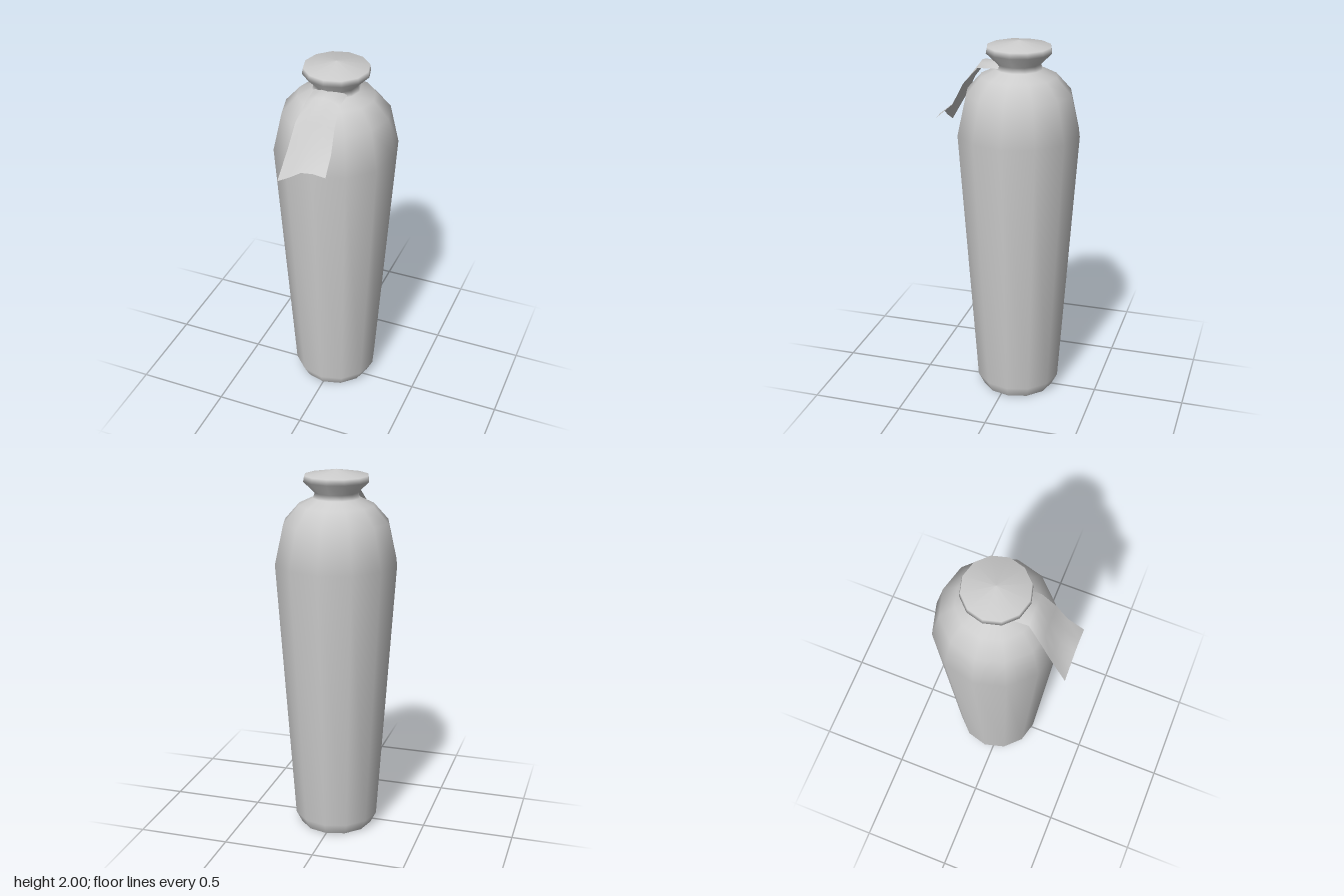
import * as THREE from 'three';

const SIDES = 12;
const AXIS_Z = -0.045;

export function createModel() {
  const model = new THREE.Group();
  const grey = new THREE.MeshStandardMaterial({ color: 0xcccccc });
  const cloth = new THREE.MeshStandardMaterial({ color: 0xcccccc, side: THREE.DoubleSide });

  const add = (name, geometry, material) => {
    const mesh = new THREE.Mesh(geometry, material);
    mesh.name = name;
    model.add(mesh);
    return mesh;
  };

  // Tapered body, shoulder, narrow neck and flared stopper: [radius, height]
  const profile = [
    [0.2, 0], [0.233, 0.065], [0.331, 1.51], [0.283, 1.725], [0.203, 1.815],
    [0.125, 1.852], [0.115, 1.88], [0.176, 1.94], [0.17, 1.97], [0, 2],
  ].map(([r, y]) => new THREE.Vector2(r, y));
  add('jarBody', new THREE.LatheGeometry(profile, SIDES), grey).position.z = AXIS_Z;

  // Flat base
  const base = new THREE.CircleGeometry(0.2, SIDES).rotateX(Math.PI / 2);
  add('base', base, grey).position.z = AXIS_Z;

  // Cloth strip hanging from the neck: left x, right x, z, then heights across
  const rows = [
    [-0.085, 0.093, 0.04, [1.865, 1.88, 1.89, 1.885, 1.865]],
    [-0.078, 0.096, 0.15, [1.862, 1.88, 1.887, 1.88, 1.862]],
    [-0.11, 0.1, 0.228, [1.765, 1.775, 1.78, 1.78, 1.775]],
    [-0.125, 0.106, 0.287, [1.65, 1.655, 1.66, 1.66, 1.66]],
    [-0.148, 0.113, 0.377, [1.5, 1.537, 1.58, 1.588, 1.58]],
  ];
  const cols = 4;
  const strip = new THREE.PlaneGeometry(1, 1, cols, rows.length - 1);
  rows.forEach(([x0, x1, z, heights], j) => {
    heights.forEach((y, i) => {
      strip.attributes.position.setXYZ(j * (cols + 1) + i, THREE.MathUtils.lerp(x0, x1, i / cols), y, z);
    });
  });
  strip.computeVertexNormals();
  add('clothStrip', strip, cloth);

  return model;
}
